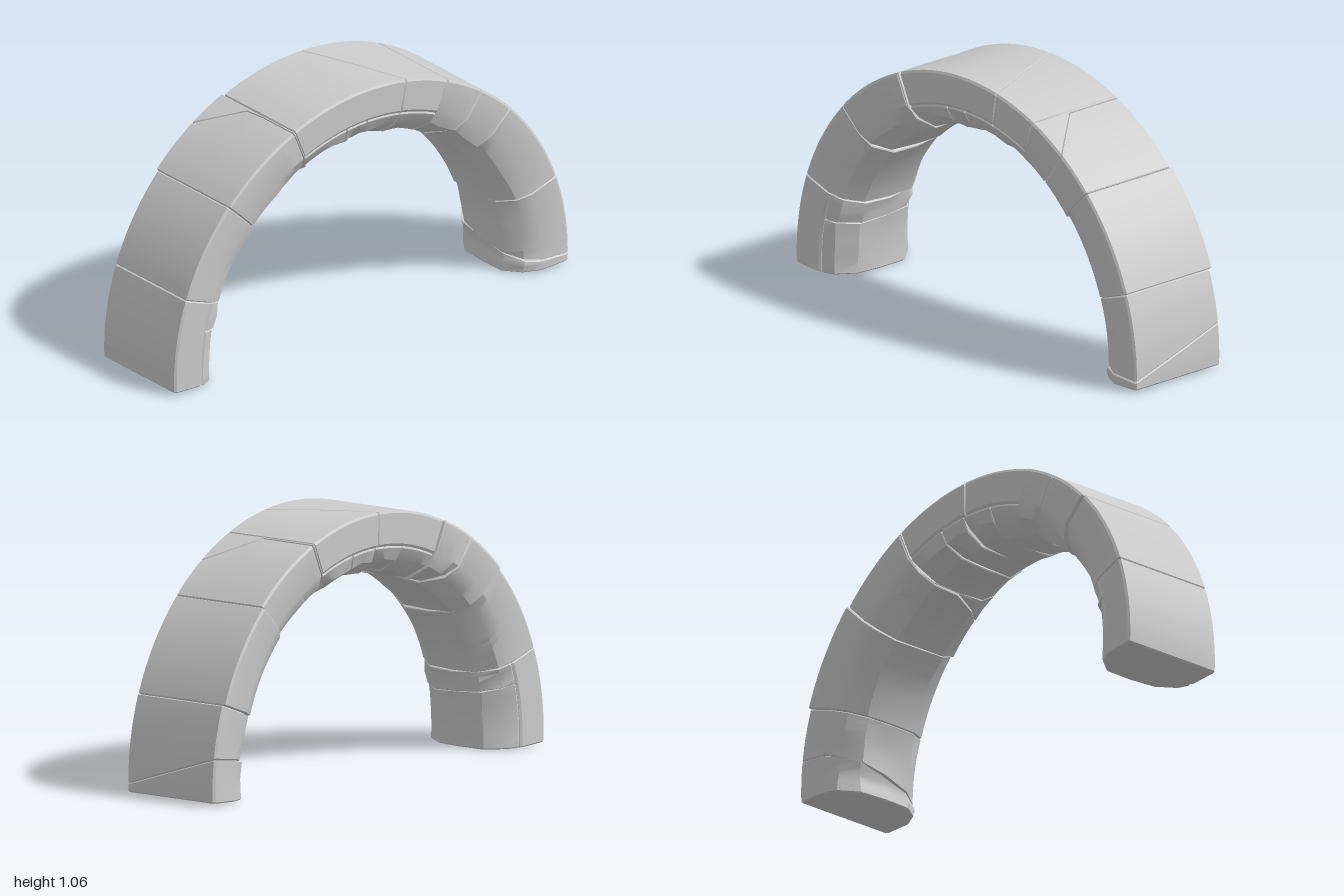
import * as THREE from 'three';
import { toCreasedNormals } from 'three/addons/utils/BufferGeometryUtils.js';

const CENTRE_Y = 0.062, RAD = Math.PI / 180;

// Small seeded generator, -1..1
let seed = 7;
const rand = () => {
  seed = (seed * 16807) % 2147483647;
  return (seed / 2147483647) * 2 - 1;
};

// Cross-sections as [x, radius], anticlockwise, chamfered towards the inside of the arch
const INNER_EDGE = [[-0.19, 0.803], [-0.118, 0.752], [0, 0.744], [0.124, 0.752], [0.2, 0.803]];
const OUTER_EDGE = [[0.232, 0.99], [0.226, 1], [0.04, 1], [-0.05, 1], [-0.215, 1], [-0.221, 0.99]];
const WHOLE = [...INNER_EDGE, [0.229, 0.865], ...OUTER_EDGE, [-0.219, 0.865]];
const FACING = [[0.222, 0.858], [0.229, 0.868], ...OUTER_EDGE, [-0.219, 0.868], [-0.212, 0.858]];
const LINING = [...INNER_EDGE, [0.224, 0.85], [0.21, 0.88], [-0.2, 0.88], [-0.214, 0.85]];

// Angle of a joint at x: skew runs across the width, corner bends one side only (side 1 or -1)
const jointAngle = ({ at, skew = 0, corner = 0, side = 1 }, x) =>
  at + skew * x / 0.22 + corner * Math.max(0, (side * x - 0.045) / 0.175);

// One stone swept along the arch between two joints
function stone(name, section, from, to) {
  const { shift = 0, grow = 0 } = from;
  const n = section.length;
  const steps = Math.max(4, Math.ceil((to.at - from.at) / 2.5));
  // Three sets of hand-hewn offsets, blended along the stone
  const rough = [0, 1, 2].map(() => section.map(([, r]) =>
    r < 0.84 ? [rand() * 0.007, rand() * 0.008] : [0, 0]));

  // Rows along the sweep, with a small bevel at each end
  const rows = [{ t: 0, inset: 0.004, nudge: 0.04 }];
  for (let j = 0; j <= steps; j++)
    rows.push({ t: j / steps, inset: 0, nudge: j === 0 ? 0.28 : j === steps ? -0.28 : 0 });
  rows.push({ t: 1, inset: 0.004, nudge: -0.04 });

  const midR = section.reduce((s, p) => s + p[1], 0) / n;
  const place = (x, r, t, nudge) => {
    const a0 = jointAngle(from, x), span = Math.max(0, jointAngle(to, x) - a0);
    const a = (a0 + span * t + Math.sign(nudge) * Math.min(Math.abs(nudge), span / 3)) * RAD;
    // Level the feet
    const foot = (from.at < 0 && t === 0) || (to.at > 180 && t === 1);
    const y = foot ? 0.003 + 0.05 * Math.max(0, r - 0.75) + Math.abs(nudge) * 0.02
      : CENTRE_Y + r * Math.sin(a);
    return [x, y, r * Math.cos(a)];
  };

  const pos = [], idx = [];
  for (const { t, inset, nudge } of rows) {
    const k = Math.min(1, Math.floor(t * 2)), f = t * 2 - k;
    section.forEach(([x, r], i) => {
      const a = rough[k][i], b = rough[k + 1][i];
      const px = x * (1 + grow) + shift + a[0] + (b[0] - a[0]) * f;
      const pr = r + a[1] + (b[1] - a[1]) * f;
      pos.push(...place(px - Math.sign(px) * inset * Math.min(1, Math.abs(px) / 0.15),
        pr - Math.sign(pr - midR) * inset, t, nudge));
    });
  }
  const last = rows.length - 1;
  for (let j = 0; j < last; j++) for (let i = 0; i < n; i++) {
    const a = j * n + i, b = j * n + (i + 1) % n;
    idx.push(a, a + n, b, b, a + n, b + n);
  }
  // End faces
  const c = pos.length / 3;
  pos.push(...place(shift, midR, 0, 0.04), ...place(shift, midR, 1, -0.04));
  for (let i = 0; i < n; i++) {
    const k = (i + 1) % n;
    idx.push(c, i, k, c + 1, last * n + k, last * n + i);
  }
  const geo = new THREE.BufferGeometry();
  geo.setAttribute('position', new THREE.Float32BufferAttribute(pos, 3));
  geo.setIndex(idx);
  const mesh = new THREE.Mesh(toCreasedNormals(geo, 0.5),
    new THREE.MeshStandardMaterial({ color: 0xcccccc }));
  mesh.name = name;
  return mesh;
}

export function createModel() {
  seed = 7;
  const group = new THREE.Group();
  group.name = 'stoneArch';

  // Run of stones between successive joints
  const course = (name, section, joints) => {
    for (let i = 0; i < joints.length - 1; i++)
      group.add(stone(name + (i + 1), section, joints[i], joints[i + 1]));
  };

  // Front foot: one outer facing, two lining stones
  course('frontFootFacing', FACING, [{ at: -3 }, { at: 20 }]);
  course('frontFootLining', LINING, [{ at: -3 }, { at: 13, skew: -1 }, { at: 20 }]);
  // Front haunch, the upper stone slightly proud with a split-off right corner
  course('frontHaunch', WHOLE, [{ at: 20 }, { at: 43.5, shift: -0.004, grow: 0.035 },
    { at: 66.5, corner: -9, side: -1, shift: -0.004, grow: 0.035 }, { at: 67 }]);
  // Crown
  course('crownFacing', FACING, [{ at: 67 }, { at: 95, skew: 5 }, { at: 113 }]);
  course('crownLining', LINING,
    [{ at: 67 }, { at: 81, skew: 1 }, { at: 90, skew: -1 }, { at: 100 }, { at: 113 }]);
  // Back haunch: a split-off left corner, then a stone pushed sideways
  course('backHaunch', WHOLE, [{ at: 113 }, { at: 113.5, corner: 10 },
    { at: 135, shift: -0.007, grow: 0.025 }, { at: 160 }]);
  // Back foot with its chipped lower corner
  course('backFoot', WHOLE, [{ at: 160 }, { at: 176.5, skew: 4 }, { at: 183 }]);
  return group;
}
